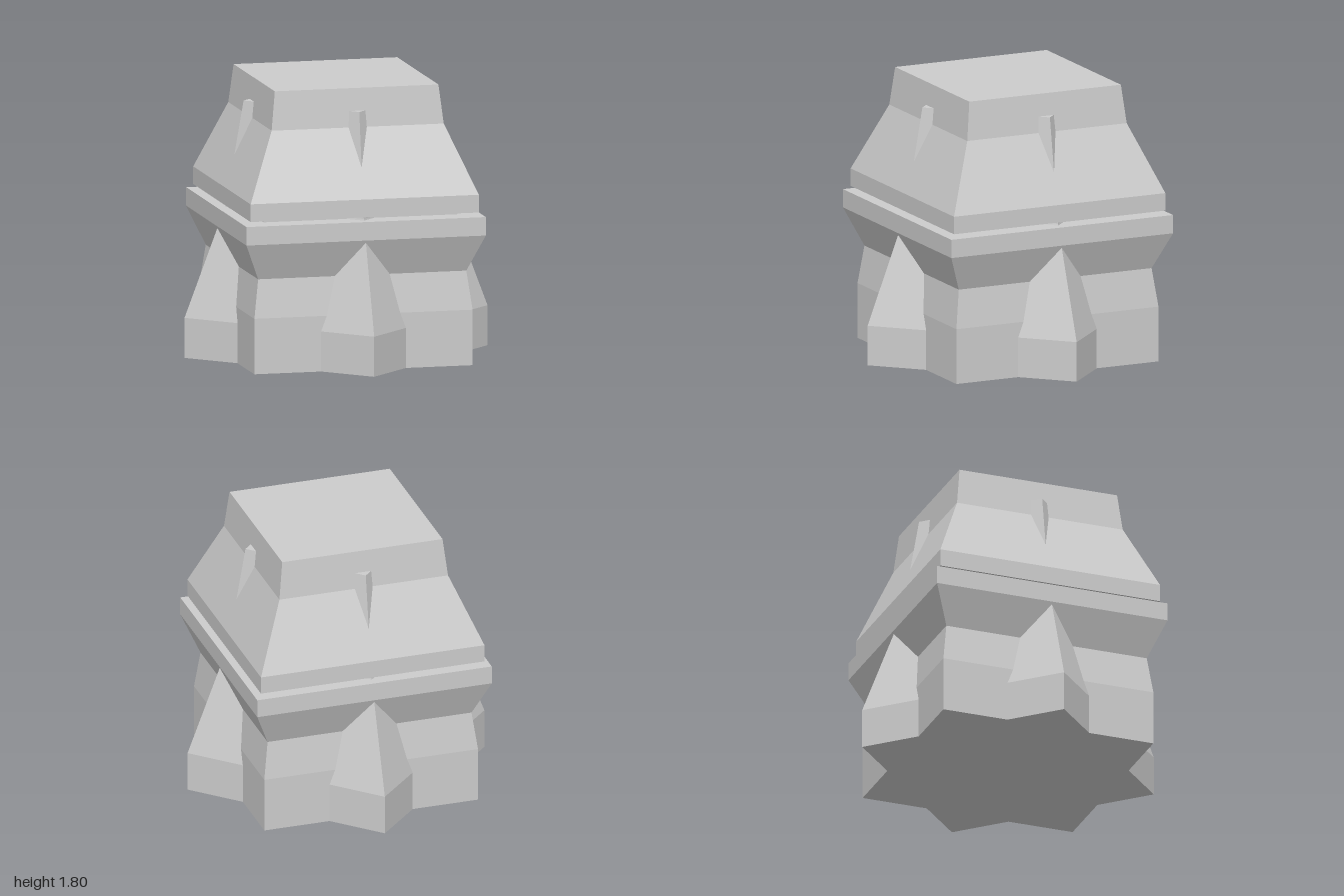
import * as THREE from 'three';

// Four-sided solid from [halfSize, y] rings, closed on the axis at both ends.
// turn = PI/4 gives walls facing the axes; turn = 0 gives corners on the axes.
function squareTower(name, rings, turn, material) {
  const scale = turn ? Math.SQRT2 : 1;
  const profile = [[0, rings[0][1]], ...rings, [0, rings[rings.length - 1][1]]]
    .map(([r, y]) => new THREE.Vector2(r * scale, y));
  const geometry = new THREE.LatheGeometry(profile, 4, turn).toNonIndexed();
  geometry.computeVertexNormals();
  const mesh = new THREE.Mesh(geometry, material);
  mesh.name = name;
  return mesh;
}

export function createModel() {
  const group = new THREE.Group();
  group.name = 'towerBlock';
  const grey = new THREE.MeshStandardMaterial({ color: 0xcccccc, flatShading: true });
  const quarter = Math.PI / 4;

  // Lower storey with waist and flared rim
  group.add(squareTower('base',
    [[0.72, 0], [0.72, 0.36], [0.687, 0.61], [0.79, 0.85], [0.79, 0.97]], quarter, grey));

  // Recessed neck inside the gap
  group.add(squareTower('neck', [[0.64, 0.95], [0.64, 1.02]], quarter, grey));

  // Upper storey sloping in to the flat roof
  group.add(squareTower('roof',
    [[0.753, 0.995], [0.753, 1.11], [0.568, 1.55], [0.54, 1.8]], quarter, grey));

  // Diagonal core whose corners break through the walls as buttresses and fins
  group.add(squareTower('buttresses',
    [[1, 0], [1, 0.26], [0.728, 0.98], [0.61, 1.655]], 0, grey));

  return group;
}
